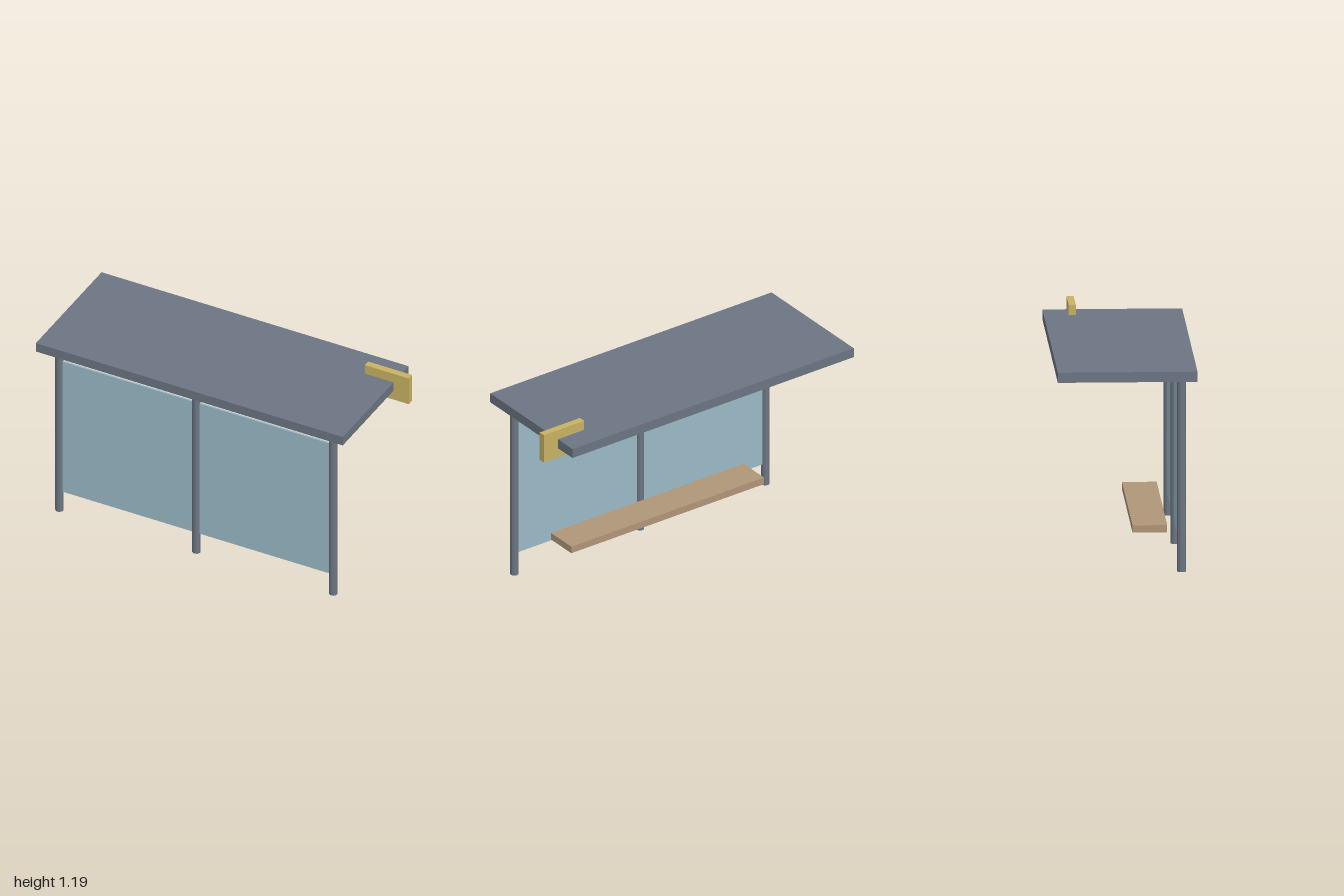
import * as THREE from 'three';

const paint = (name, color, flatShading = false) => {
  const m = new THREE.MeshStandardMaterial({ color, flatShading });
  m.name = name;
  return m;
};

// Box given by its minimum and maximum corners
function slab(name, min, max, material) {
  const size = max.map((v, i) => v - min[i]);
  const mesh = new THREE.Mesh(new THREE.BoxGeometry(...size), material);
  mesh.position.set(...max.map((v, i) => (v + min[i]) / 2));
  mesh.name = name;
  return mesh;
}

export function createModel() {
  const metal = paint('slate metal', 0x6b7582, true);
  const glass = paint('blue glass', 0x9abac6);
  const wood = paint('bench wood', 0xb09678);
  const yellow = paint('sign yellow', 0xc8b262);

  const shelter = new THREE.Group();
  shelter.name = 'shelter';

  // Flat roof and the row of posts carrying it
  shelter.add(slab('roof', [-1, 1.075, -0.383], [0.905, 1.131, 0.383], metal));
  const postGeometry = new THREE.CylinderGeometry(0.024, 0.024, 1.075, 10);
  for (const x of [-0.898, -0.048, 0.802]) {
    const post = new THREE.Mesh(postGeometry, metal);
    post.position.set(x, 1.075 / 2, 0.3);
    post.name = 'post';
    shelter.add(post);
  }

  // Glazed wall between the posts
  shelter.add(slab('glassPanel', [-0.885, 0.13, 0.294], [0.789, 1.0, 0.306], glass));

  // Bench seat and roof-edge sign
  shelter.add(slab('benchSeat', [-0.7, 0.181, 0.04], [0.605, 0.222, 0.23], wood));
  shelter.add(slab('sign', [0.727, 1.016, -0.247], [1, 1.188, -0.208], yellow));

  return shelter;
}
